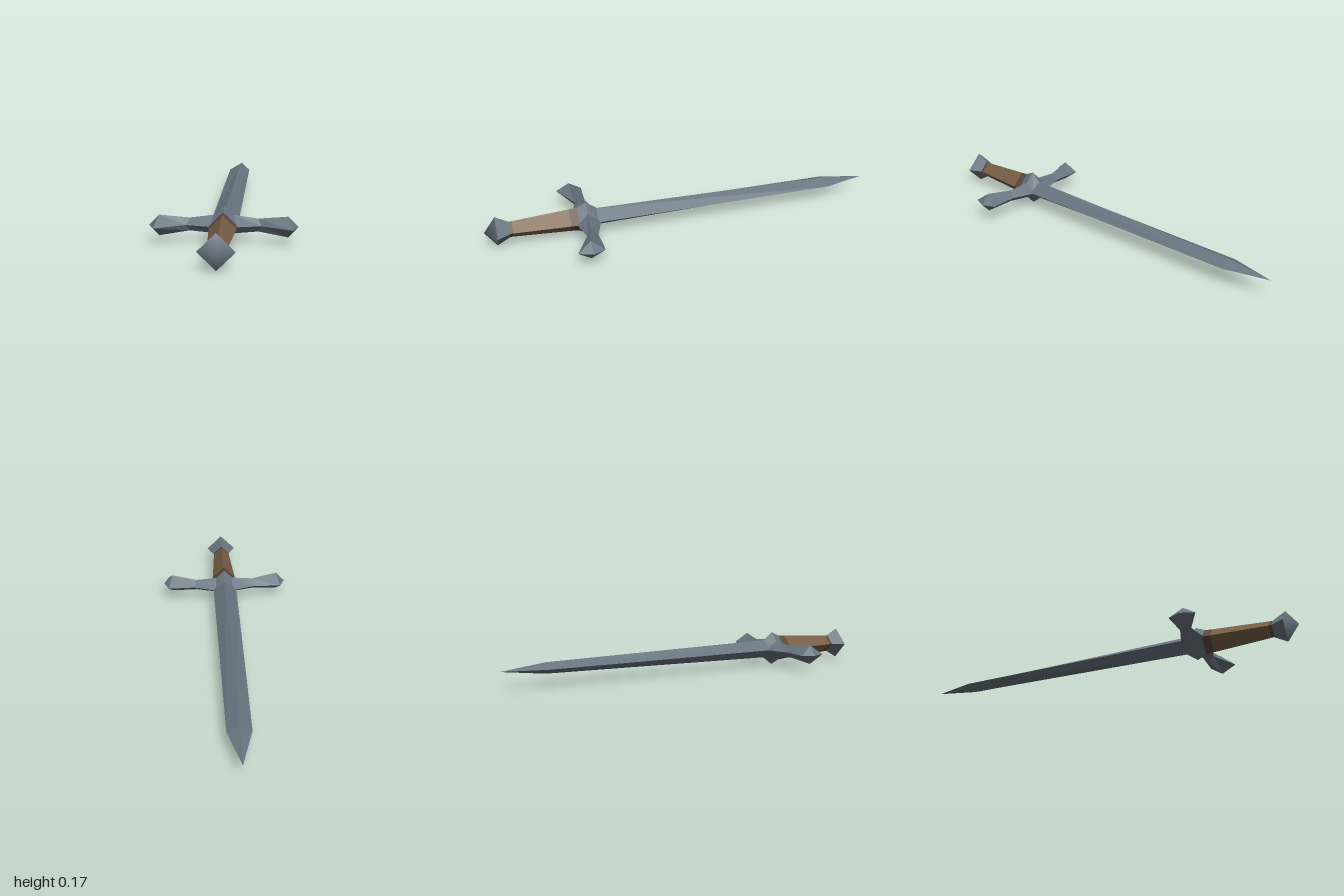
import * as THREE from 'three';
import { mergeVertices } from 'three/addons/utils/BufferGeometryUtils.js';

const steel = new THREE.MeshStandardMaterial({ color: 0x68747f });
steel.name = 'steel';
const leather = new THREE.MeshStandardMaterial({ color: 0x785f46 });
leather.name = 'leather';
const darkLeather = new THREE.MeshStandardMaterial({ color: 0x5a483c });
darkLeather.name = 'dark leather';

// Skin a row of four-cornered rings, faceted or smooth
function loft(rings, smooth = false) {
  const index = [];
  for (let i = 0; i < rings.length - 1; i++) {
    for (let k = 0; k < 4; k++) {
      const a = i * 4 + k, b = i * 4 + (k + 1) % 4;
      index.push(a, b, b + 4, a, b + 4, a + 4);
    }
  }
  let geo = new THREE.BufferGeometry();
  geo.setAttribute('position', new THREE.Float32BufferAttribute(rings.flat(2), 3));
  geo.setIndex(index);
  geo = smooth ? mergeVertices(geo) : geo.toNonIndexed();
  geo.computeVertexNormals();
  return geo;
}

// Diamond section across the sword's length
const diamond = ([z, w, h]) => [[w, 0, z], [0, h, z], [-w, 0, z], [0, -h, z]];

// Diamond section across a guard arm; edges may sit further out than the ridges
const armSection = ([xRidge, xEdge, h, zBack, zRidge, zFront]) =>
  [[xRidge, h, zRidge], [xEdge, 0, zFront], [xRidge, -h, zRidge], [xEdge, 0, zBack]];

export function createModel() {
  const sword = new THREE.Group();
  sword.name = 'sword';
  sword.position.y = 0.09;

  const add = (name, geometry, material) => {
    const mesh = new THREE.Mesh(geometry, material);
    mesh.name = name;
    sword.add(mesh);
    return mesh;
  };
  const along = (name, sections, material, smooth) =>
    add(name, loft(sections.map(diamond), smooth), material);

  // Blade, tapering to a point at the back
  along('blade', [[-1, 0, 0], [-0.78, 0.057, 0.027], [0.48, 0.063, 0.047]], steel);

  // Guard centre block
  along('guardCentre', [[0.445, 0.055, 0.046], [0.5, 0.087, 0.087], [0.548, 0.064, 0.064]], steel);

  // Guard arms: narrow waist, flared end, pointed tip
  const arm = loft([
    [0.03, 0.03, 0.047, 0.44, 0.5, 0.555],
    [0.045, 0.062, 0.043, 0.44, 0.5, 0.555],
    [0.155, 0.17, 0.03, 0.475, 0.508, 0.53],
    [0.29, 0.31, 0.048, 0.47, 0.535, 0.6],
    [0.337, 0.337, 0, 0.53, 0.53, 0.53],
  ].map(armSection));
  add('leftGuardArm', arm, steel);
  add('rightGuardArm', arm, steel).rotation.z = Math.PI;

  // Grip with a dark collar at each end
  along('guardCollar', [[0.54, 0.066, 0.066], [0.585, 0.062, 0.062]], darkLeather);
  along('grip', [[0.585, 0.062, 0.062], [0.865, 0.044, 0.044]], leather);
  along('pommelCollar', [[0.865, 0.044, 0.044], [0.887, 0.042, 0.042]], darkLeather);

  // Pommel: faceted flare and softly shaded cap
  along('pommel', [[0.88, 0, 0], [0.88, 0.045, 0.045], [0.942, 0.08, 0.08]], steel);
  along('pommelCap', [[0.942, 0.08, 0.08], [1, 0, 0]], steel, true);

  const model = new THREE.Group();
  model.add(sword);
  return model;
}
